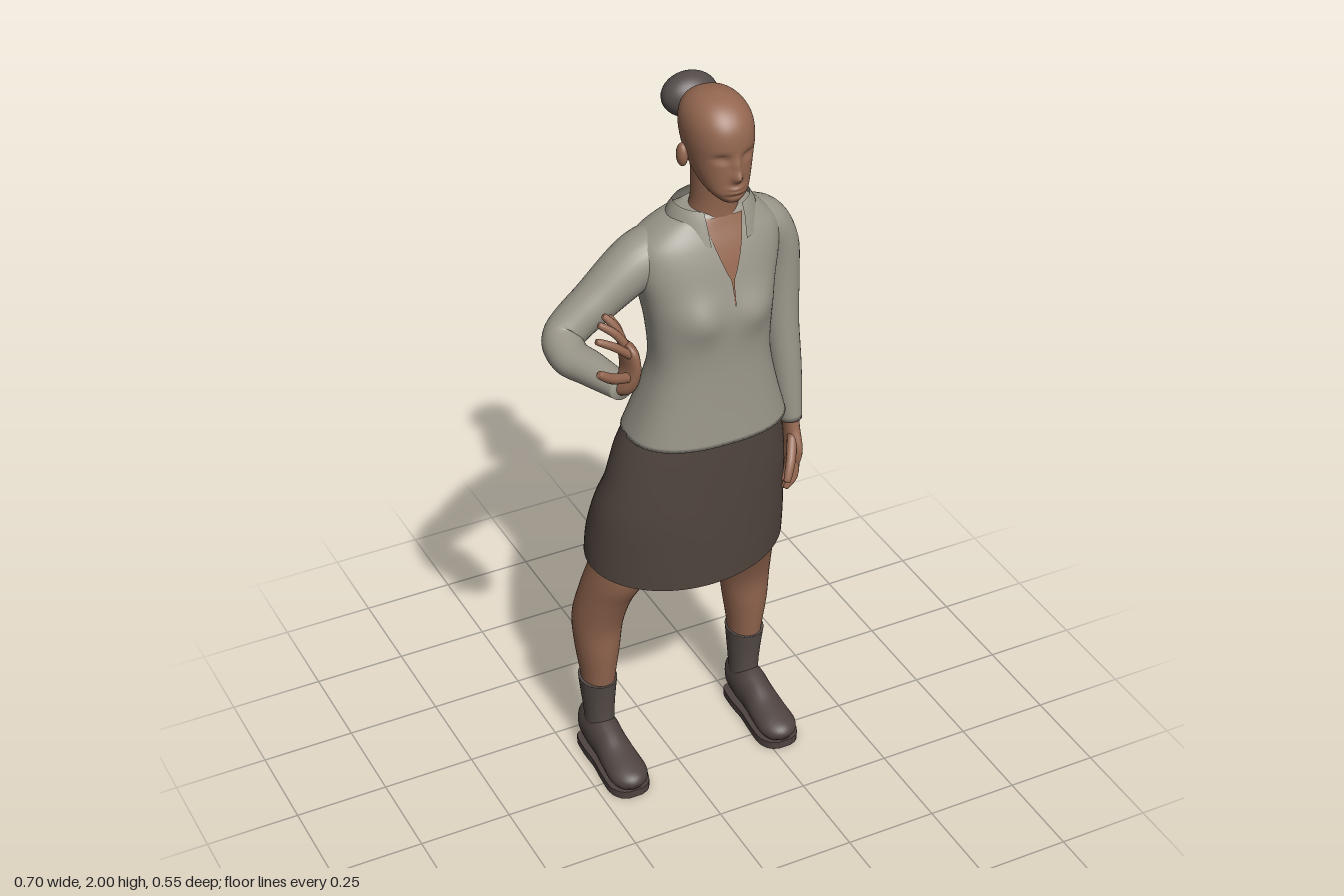
import * as THREE from 'three';

const mat = (name, color, side = THREE.FrontSide) => {
  const m = new THREE.MeshStandardMaterial({ color, side });
  m.name = name;
  return m;
};

// Smooth interpolation of rows of numbers
function spline(keys, n) {
  const out = [], last = keys.length - 1;
  for (let i = 0; i <= n; i++) {
    const t = (i / n) * last, s = Math.min(Math.floor(t), last - 1), f = t - s;
    const [a, b, c, d] = [-1, 0, 1, 2].map(o => keys[THREE.MathUtils.clamp(s + o, 0, last)]);
    out.push(b.map((_, k) => b[k] + 0.5 * f * (c[k] - a[k] + f * (2 * a[k] - 5 * b[k] + 4 * c[k] - d[k]
      + f * (3 * (b[k] - c[k]) + d[k] - a[k])))));
  }
  return out;
}

// Surface through rows of points, optionally wrapped around and capped
function sheet(rows, wrap = true, cap = wrap) {
  const pos = rows.flat().flatMap(p => [p.x, p.y, p.z]), idx = [];
  const m = rows[0].length, n = rows.length;
  for (let i = 0; i < n - 1; i++) for (let j = 0; j < (wrap ? m : m - 1); j++) {
    const k = (j + 1) % m, a = i * m + j, b = a + m, c = i * m + k, d = c + m;
    idx.push(a, b, c, c, b, d);
  }
  if (cap) [0, n - 1].forEach(r => {
    const mid = rows[r].reduce((s, p) => s.add(p), new THREE.Vector3()).divideScalar(m);
    const ci = pos.push(mid.x, mid.y, mid.z) / 3 - 1;
    for (let j = 0; j < m; j++) {
      const a = r * m + j, b = r * m + (j + 1) % m;
      idx.push(ci, r ? b : a, r ? a : b);
    }
  });
  const g = new THREE.BufferGeometry();
  g.setAttribute('position', new THREE.Float32BufferAttribute(pos, 3));
  g.setIndex(idx);
  g.computeVertexNormals();
  return g;
}

const spow = (v, e) => Math.sign(v) * Math.abs(v) ** e;

// Stack of level rings; each key is [y, centre x, half width, front z, back z]
function stack(keys, { n = 32, seg = 40, e = 1, gap = null, tweak = null, cap = true } = {}) {
  const rows = spline(keys, n).map(([y, cx, rx, zf, zb]) => {
    const g = gap ? gap(y) : 0, row = [], count = gap ? seg + 1 : seg;
    for (let j = 0; j < count; j++) {
      const a = -Math.PI / 2 + g + (j / seg) * (2 * Math.PI - 2 * g);
      const p = new THREE.Vector3(cx + rx * spow(Math.cos(a), e), y,
        (zf + zb) / 2 + (zf - zb) / 2 * spow(Math.sin(a), e));
      if (tweak) tweak(p, a);
      row.push(p);
    }
    return row;
  });
  return sheet(rows, !gap, cap && !gap);
}

// Tapered limb along a path; each key is [x, y, z, radius along ref, other radius]
function limb(keys, ref, n = 24, seg = 20, tweak = null) {
  const pts = spline(keys, n), at = i => new THREE.Vector3(...pts[i].slice(0, 3));
  return sheet(pts.map((k, i) => {
    const T = at(Math.min(i + 1, n)).sub(at(Math.max(i - 1, 0))).normalize();
    const U = ref.clone().addScaledVector(T, -ref.dot(T)).normalize();
    const V = U.clone().cross(T);
    return Array.from({ length: seg }, (_, j) => {
      const a = (j / seg) * Math.PI * 2;
      const p = at(i).addScaledVector(U, k[3] * Math.cos(a)).addScaledVector(V, k[4] * Math.sin(a));
      if (tweak) tweak(p);
      return p;
    });
  }));
}

const bell = (x, y, sx, sy) => Math.exp(-((x / sx) ** 2) - (y / sy) ** 2);
const X = new THREE.Vector3(1, 0, 0), Y = new THREE.Vector3(0, 1, 0), Z = new THREE.Vector3(0, 0, 1);

export function createModel() {
  const root = new THREE.Group();
  const skin = mat('skin', 0x946750), shirt = mat('shirt', 0x9a968a);
  const shirtThin = shirt, skirtMat = mat('skirt', 0x52463f, THREE.DoubleSide);
  const hair = mat('hair', 0x544c4a), sock = mat('sock', 0x544b47), leather = mat('shoe leather', 0x4e4340);
  shirtThin.side = THREE.DoubleSide;
  const add = (name, geo, material, parent = root) => {
    const m = new THREE.Mesh(geo, material);
    m.name = name;
    parent.add(m);
    return m;
  };
  const ball = (name, material, p, r) => {
    const m = add(name, new THREE.SphereGeometry(1, 32, 20), material);
    m.position.set(...p);
    m.scale.set(...r);
  };

  // Head with a modelled face, ears and bun
  add('head', stack([
    [1.752, 0.1, 0.026, 0.1, 0.03], [1.772, 0.1, 0.047, 0.109, 0], [1.8, 0.1, 0.062, 0.108, -0.045],
    [1.85, 0.1, 0.076, 0.106, -0.085], [1.9, 0.1, 0.083, 0.108, -0.104], [1.94, 0.1, 0.08, 0.1, -0.106],
    [1.97, 0.1, 0.066, 0.078, -0.09], [1.99, 0.1, 0.042, 0.046, -0.058], [2, 0.1, 0.008, 0.005, -0.015],
  ], { n: 72, seg: 96, e: 0.92, tweak: p => {
    if (p.z < 0.03) return;
    const dx = p.x - 0.1, eye = Math.abs(dx) - 0.034;
    p.z += 0.019 * bell(dx, p.y - 1.823, 0.013, 0.014) + 0.011 * bell(dx, p.y - 1.85, 0.01, 0.022)
      - 0.011 * bell(eye, p.y - 1.87, 0.017, 0.01) + 0.004 * bell(eye, p.y - 1.868, 0.009, 0.004)
      + 0.007 * bell(dx, p.y - 1.793, 0.02, 0.005) + 0.006 * bell(dx, p.y - 1.782, 0.018, 0.005)
      - 0.004 * bell(dx, p.y - 1.771, 0.03, 0.005);
  } }), skin);
  for (const s of [-1, 1]) ball(s > 0 ? 'leftEar' : 'rightEar', skin, [0.1 + s * 0.083, 1.845, -0.012], [0.014, 0.03, 0.018]);
  ball('hairBun', hair, [0.102, 1.925, -0.142], [0.072, 0.056, 0.053]);
  add('neck', stack([
    [1.62, 0.1, 0.085, 0.045, -0.09], [1.67, 0.1, 0.068, 0.048, -0.08],
    [1.72, 0.1, 0.056, 0.05, -0.07], [1.82, 0.1, 0.056, 0.06, -0.075],
  ]), skin);

  // Blouse body
  const body = [
    [1.085, 0.08, 0.213, 0.126, -0.162], [1.2, 0.08, 0.178, 0.119, -0.125], [1.3, 0.08, 0.156, 0.115, -0.097],
    [1.4, 0.08, 0.16, 0.115, -0.105], [1.48, 0.08, 0.172, 0.108, -0.125], [1.56, 0.082, 0.19, 0.092, -0.142],
    [1.62, 0.086, 0.185, 0.073, -0.135], [1.665, 0.094, 0.14, 0.053, -0.11], [1.69, 0.1, 0.095, 0.043, -0.085],
    [1.698, 0.1, 0.07, 0.036, -0.078],
  ];
  const bust = p => 0.02 * bell(Math.abs(p.x - 0.085) - 0.075, p.y - 1.445, 0.06, 0.055);
  add('blouse', stack(body, { n: 60, seg: 72, e: 0.82, tweak: (p, a) => {
    if (Math.sin(a) > 0) p.z += bust(p) * Math.min(1, Math.sin(a) * 1.5);
  } }), shirtThin);

  // Open neckline lying on the chest
  const levels = spline(body, 400);
  const opening = spline([[1.475, 0.0015], [1.535, 0.004], [1.56, 0.014], [1.62, 0.035], [1.688, 0.052]], 24);
  add('neckline', sheet(opening.map(([y, w]) => {
    const [, cx, rx, zf, zb] = levels.find(l => l[0] >= y);
    return Array.from({ length: 11 }, (_, j) => {
      const p = new THREE.Vector3(0.097 + w * (1 - j / 5), y, 0);
      const u = Math.min(1, Math.abs(p.x - cx) / rx);
      p.z = (zf + zb) / 2 + (zf - zb) / 2 * (1 - u ** (2 / 0.82)) ** 0.41 + bust(p) + 0.004;
      return p;
    });
  }), false), skin);

  // Turned-down collar: [height, half width, front depth, back depth, droop, front opening]
  add('collar', sheet([
    [1.655, 0.122, 0.107, 0.092, 0.03, 0.4], [1.69, 0.112, 0.09, 0.08, 0.012, 0.47], [1.714, 0.098, 0.075, 0.062, 0.008, 0.55],
  ].map(([y, rx, f, b, droop, open]) => Array.from({ length: 49 }, (_, j) => {
    const a = Math.PI / 2 + open + (j / 48) * (2 * Math.PI - 2 * open), s = Math.sin(a);
    return new THREE.Vector3(0.1 + rx * Math.cos(a), y - droop * Math.max(0, s), -0.025 + (s > 0 ? f : b) * s);
  })), false), shirtThin);

  // Sleeves: one hanging, one bent forward
  add('leftSleeve', limb([
    [0.15, 1.595, -0.04, 0.075, 0.06], [0.235, 1.592, -0.045, 0.075, 0.07], [0.285, 1.53, -0.042, 0.062, 0.06],
    [0.298, 1.43, -0.035, 0.053, 0.05], [0.299, 1.31, -0.025, 0.048, 0.046], [0.308, 1.17, -0.01, 0.043, 0.041],
    [0.317, 1.025, 0.006, 0.034, 0.03],
  ], Z, 40, 28), shirtThin);
  add('rightSleeve', limb([
    [0.02, 1.6, -0.04, 0.06, 0.075], [-0.08, 1.575, -0.04, 0.068, 0.073], [-0.2, 1.49, -0.04, 0.056, 0.06],
    [-0.288, 1.42, -0.035, 0.05, 0.052], [-0.305, 1.4, 0.03, 0.045, 0.05], [-0.285, 1.4, 0.1, 0.04, 0.047],
    [-0.255, 1.405, 0.22, 0.03, 0.035],
  ], Y, 48, 28), shirtThin);

  // Hands: a palm plus five jointed fingers [base, middle, tip]
  const hand = (name, palm, ref, fingers) => {
    const g = new THREE.Group();
    g.name = name;
    root.add(g);
    add('palm', limb(palm, ref), skin, g);
    fingers.forEach(([a, b, c], i) => {
      const r = i ? 0.0105 : 0.013;
      const end = c.map((v, k) => v + (v - b[k]) * 0.06);
      add(i ? 'finger' : 'thumb', limb([[...a, r, r], [...b, r, r], [...c, r * 0.75, r * 0.75], [...end, 0.002, 0.002]], ref, 12, 10), skin, g);
    });
  };
  hand('leftHand', [
    [0.316, 1.05, 0.005, 0.026, 0.021], [0.317, 1.0, 0.012, 0.03, 0.02], [0.316, 0.95, 0.02, 0.045, 0.02],
    [0.311, 0.915, 0.022, 0.043, 0.016], [0.31, 0.905, 0.022, 0.03, 0.008],
  ], Z, [
    [[0.31, 0.985, 0.03], [0.285, 0.94, 0.072], [0.265, 0.895, 0.092]],
    [[0.31, 0.925, 0.052], [0.302, 0.88, 0.06], [0.28, 0.85, 0.058]],
    [[0.312, 0.92, 0.032], [0.306, 0.87, 0.036], [0.288, 0.835, 0.034]],
    [[0.313, 0.92, 0.01], [0.31, 0.87, 0.01], [0.295, 0.84, 0.012]],
    [[0.314, 0.925, -0.01], [0.314, 0.885, -0.018], [0.303, 0.86, -0.018]],
  ]);
  hand('rightHand', [
    [-0.258, 1.405, 0.2, 0.026, 0.022], [-0.246, 1.42, 0.222, 0.03, 0.024], [-0.237, 1.46, 0.222, 0.044, 0.02],
    [-0.24, 1.505, 0.216, 0.047, 0.018], [-0.247, 1.527, 0.21, 0.03, 0.008],
  ], Z, [
    [[-0.25, 1.445, 0.24], [-0.3, 1.468, 0.262], [-0.338, 1.495, 0.271]],
    [[-0.243, 1.505, 0.245], [-0.285, 1.54, 0.245], [-0.327, 1.563, 0.238]],
    [[-0.243, 1.515, 0.225], [-0.272, 1.558, 0.218], [-0.306, 1.584, 0.206]],
    [[-0.243, 1.515, 0.203], [-0.26, 1.56, 0.192], [-0.282, 1.587, 0.179]],
    [[-0.24, 1.505, 0.184], [-0.245, 1.54, 0.172], [-0.26, 1.57, 0.162]],
  ]);

  // Skirt with a back slit and a hem rising to the rear
  add('skirt', stack([
    [0.635, 0.062, 0.274, 0.088, -0.272], [0.72, 0.062, 0.272, 0.094, -0.258], [0.83, 0.062, 0.262, 0.1, -0.22],
    [0.92, 0.068, 0.248, 0.103, -0.187], [1.03, 0.074, 0.228, 0.106, -0.176], [1.115, 0.079, 0.2, 0.107, -0.15],
  ], { n: 40, seg: 72, gap: y => 0.17 * THREE.MathUtils.clamp((0.83 - y) / 0.19, 0, 1), tweak: (p, a) => {
    p.y += 0.075 * (0.5 - 0.5 * Math.sin(a)) * THREE.MathUtils.clamp((1.0 - p.y) / 0.36, 0, 1);
  } }), skirtMat);

  // Legs, socks and shoes mirrored about the stance line
  for (const s of [-1, 1]) {
    const side = s > 0 ? 'left' : 'right', cx = d => 0.058 + s * d, dz = s > 0 ? -0.008 : 0.008;
    const rows = k => k.map(([y, d, rx, f, b]) => [y, cx(d), rx, f + dz, b + dz]);
    add(side + 'Leg', stack(rows([
      [0.2, 0.224, 0.041, -0.105, -0.2], [0.27, 0.225, 0.046, -0.094, -0.212], [0.36, 0.225, 0.058, -0.082, -0.227],
      [0.45, 0.222, 0.065, -0.072, -0.235], [0.55, 0.21, 0.065, -0.035, -0.212], [0.64, 0.188, 0.069, 0.01, -0.195],
      [0.8, 0.135, 0.084, 0.05, -0.18], [0.97, 0.09, 0.09, 0.07, -0.15],
    ])), skin);
    add(side + 'Sock', stack(rows([
      [0.07, 0.224, 0.039, -0.1, -0.198], [0.13, 0.224, 0.04, -0.103, -0.2], [0.19, 0.225, 0.045, -0.1, -0.206],
      [0.252, 0.226, 0.051, -0.092, -0.213],
    ])), sock);
    const shoe = [
      [-0.204, 0.06, 0.02, 0.03], [-0.19, 0.07, 0.041, 0.052], [-0.13, 0.07, 0.047, 0.062], [-0.075, 0.062, 0.046, 0.055],
      [-0.02, 0.052, 0.051, 0.042], [0.04, 0.044, 0.053, 0.033], [0.073, 0.038, 0.038, 0.026], [0.086, 0.032, 0.014, 0.012],
    ];
    add(side + 'Shoe', limb(shoe.map(([z, y, rx, ry]) => [cx(0.225), y, z, rx, ry]), X, 32, 24, p => {
      p.y = Math.max(p.y, 0.016);
    }), leather);
    const edge = spline(shoe, 24);
    const outline = [...edge.map(k => [k[2] + 0.004, -k[0]]), ...edge.map(k => [-k[2] - 0.004, -k[0]]).reverse()];
    const sole = new THREE.ExtrudeGeometry(new THREE.Shape(outline.map(q => new THREE.Vector2(...q))), { depth: 0.022, bevelEnabled: false });
    add(side + 'Sole', sole.rotateX(-Math.PI / 2).translate(cx(0.225), 0, 0), leather);
  }
  return root;
}
